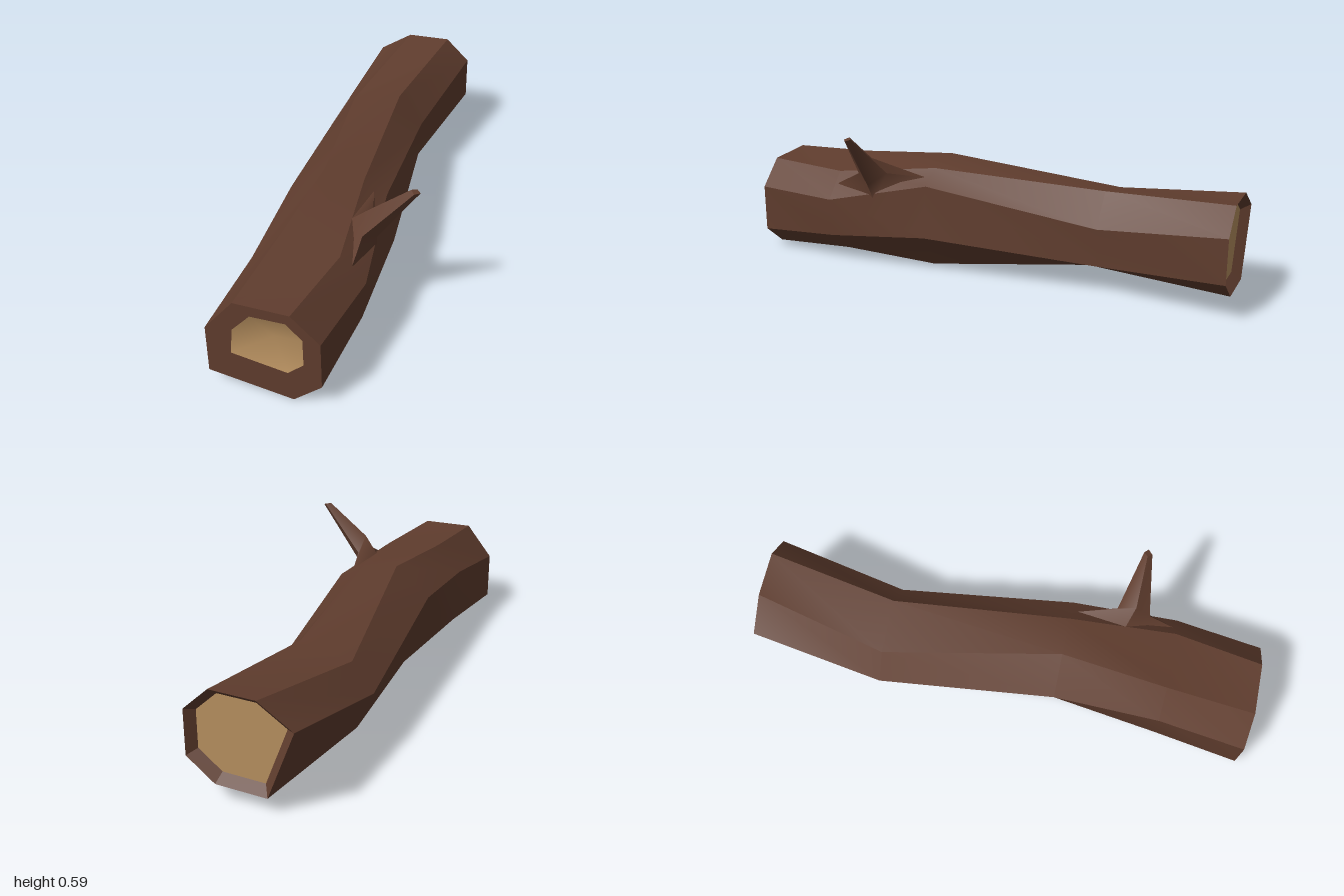
import * as THREE from 'three';

const bark = new THREE.MeshStandardMaterial({ color: 0x603d2e });
bark.name = 'bark brown';
const wood = new THREE.MeshStandardMaterial({ color: 0xb68f5f });
wood.name = 'cut wood tan';

// Seven-sided outlines [x, y], counter-clockwise from the upper right, front to back
const SECTIONS = [
  { z: 1, p: [[0.13, 0.28], [0.025, 0.38], [-0.18, 0.385], [-0.29, 0.25], [-0.29, 0.055], [0.025, 0.003], [0.13, 0.09]] },
  { z: 0.65, p: [[0.175, 0.28], [0.08, 0.378], [-0.155, 0.405], [-0.26, 0.295], [-0.24, 0.06], [0.04, 0.025], [0.16, 0.12]] },
  { z: 0.23, p: [[0.125, 0.375], [0.035, 0.428], [-0.123, 0.45], [-0.265, 0.335], [-0.165, 0.02], [0.055, 0.02], [0.155, 0.165]] },
  { z: -0.47, p: [[0.07, 0.275], [-0.03, 0.4], [-0.235, 0.357], [-0.32, 0.245], [-0.255, 0.09], [-0.04, 0.09], [0.06, 0.12]] },
  { z: -0.99, p: [[0.15, 0.34], [0.05, 0.435], [-0.13, 0.432], [-0.265, 0.345], [-0.16, 0.07], [0.04, 0.075], [0.15, 0.16]] },
];
const FRONT_CUT = [[0.05, 0.245], [-0.01, 0.303], [-0.14, 0.303], [-0.21, 0.225], [-0.22, 0.117], [-0.01, 0.08], [0.05, 0.133]];

// Four-sided twig rings from tip to flared foot: lower, back, upper, front
const TWIG = [
  [[0.32, 0.584, 0.475], [0.304, 0.588, 0.46], [0.286, 0.592, 0.475], [0.301, 0.585, 0.492]],
  [[0.162, 0.36, 0.475], [0.125, 0.41, 0.405], [0.12, 0.465, 0.475], [0.125, 0.395, 0.535]],
  [[0.152, 0.29, 0.45], [0.08, 0.398, 0.25], [0.058, 0.402, 0.45], [0.12, 0.333, 0.645]],
];

const toRing = (points, z) => points.map(([x, y]) => new THREE.Vector3(x, y, z));
const centreOf = (ring) => ring.reduce((s, v) => s.add(v), new THREE.Vector3()).divideScalar(ring.length);

function build(points, index) {
  const g = new THREE.BufferGeometry().setFromPoints(points);
  g.setIndex(index);
  g.computeVertexNormals();
  return g;
}

// Skin joining rings: smooth along its length, creased between its sides
function loft(rings) {
  const n = rings[0].length;
  const points = [], index = [];
  for (let j = 0; j < n; j++) {
    rings.forEach((ring, i) => {
      const a = points.length;
      points.push(ring[j], ring[(j + 1) % n]);
      if (i < rings.length - 1) index.push(a, a + 2, a + 1, a + 1, a + 2, a + 3);
    });
  }
  return build(points, index);
}

// Fan closing a ring, with its centre moved by an offset
function cap(ring, offset, flip = false) {
  const n = ring.length;
  const index = [];
  for (let j = 0; j < n; j++) {
    const k = (j + 1) % n;
    index.push(...(flip ? [n, k, j] : [n, j, k]));
  }
  return build([...ring, centreOf(ring).add(offset)], index);
}

export function createModel() {
  const group = new THREE.Group();
  group.name = 'log';
  const add = (name, geometry, material) => {
    const mesh = new THREE.Mesh(geometry, material);
    mesh.name = name;
    group.add(mesh);
  };

  // Trunk
  const rings = SECTIONS.map((s) => toRing(s.p, s.z));
  add('trunk', loft(rings), bark);

  // Front rim, shaded evenly, around a hollowed cut
  const frontCut = toRing(FRONT_CUT, 0.96);
  const frontRim = loft([frontCut, rings[0]]);
  const normals = frontRim.attributes.normal;
  for (let i = 0; i < normals.count; i++) normals.setXYZ(i, 0, 0, 1);
  add('frontRim', frontRim, bark);
  add('frontCut', cap(frontCut, new THREE.Vector3(0, 0, -0.04)), wood);

  // Back rim sloping in to a flat cut
  const back = rings[rings.length - 1];
  const backCentre = centreOf(back);
  const backCut = back.map((v) => v.clone().lerp(backCentre, 0.17).setZ(-0.955));
  add('backRim', loft([back, backCut]), bark);
  add('backCut', cap(backCut, new THREE.Vector3(), true), wood);

  // Twig
  const twig = TWIG.map((ring) => ring.map((p) => new THREE.Vector3(...p)));
  add('twig', loft(twig), bark);
  add('twigTip', cap(twig[0], new THREE.Vector3()), bark);

  return group;
}
